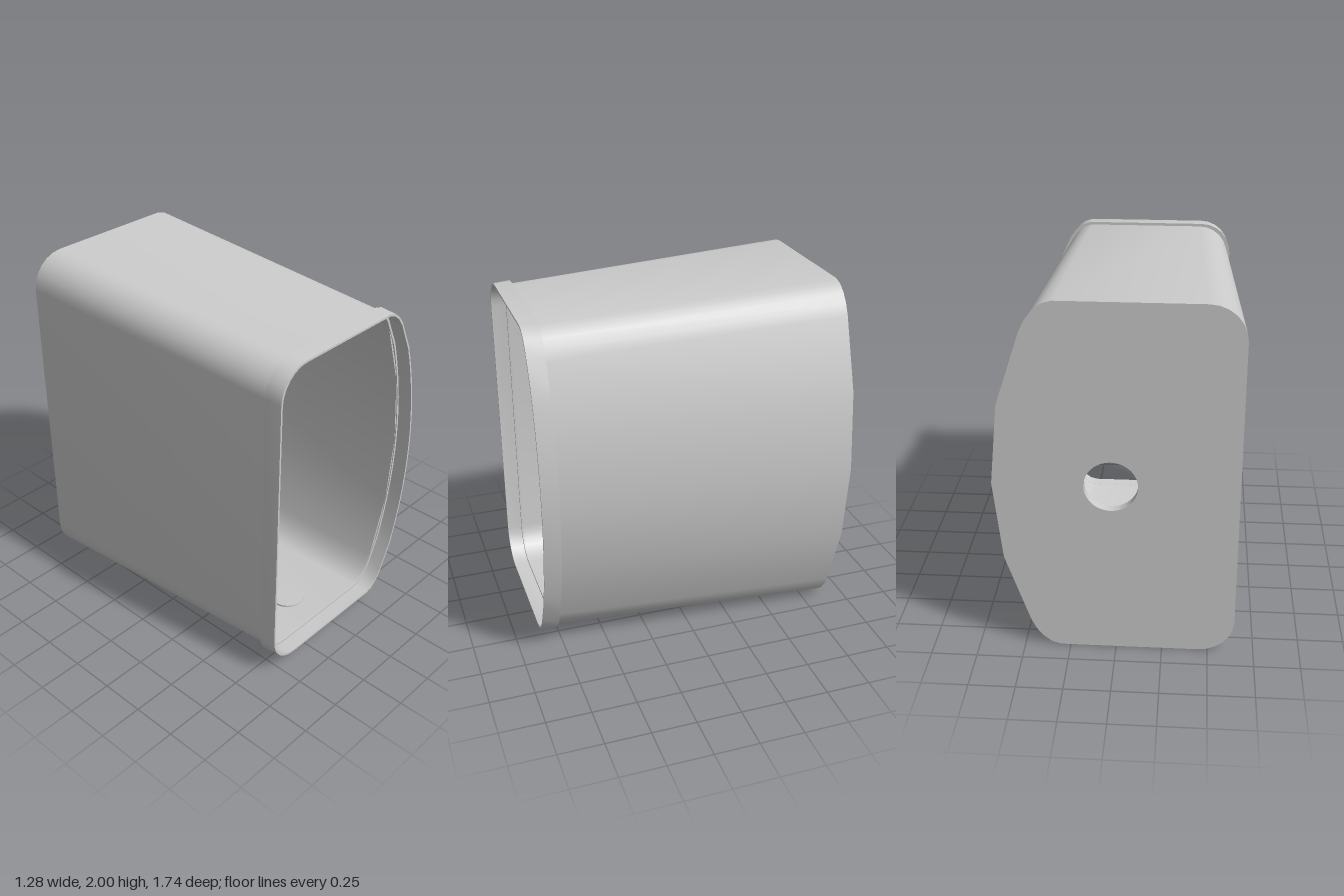
import * as THREE from 'three';
import { toCreasedNormals } from 'three/addons/utils/BufferGeometryUtils.js';

const material = new THREE.MeshStandardMaterial({ color: 0xcccccc });

// Unit outline (-1..1), counter-clockwise: rounded left corners, bowed right side.
function outline(smooth) {
  const upper = [];
  const n = smooth ? 8 : 2;
  if (smooth) {
    for (let i = 0; i < n; i++) {
      const y = 0.82 * i / n;
      upper.push([1 - 0.354 * y * y, y]);
    }
  } else upper.push([1, 0], [0.93, 0.445]);
  upper.push([0.725, 0.84], [0.68, 0.9], [0.62, 0.95], [0.55, 0.985], [0.47, 1]);
  for (let i = 0; i <= 6; i++) {
    const a = Math.PI / 2 * (1 + i / 6);
    upper.push([-0.7 + 0.3 * Math.cos(a), 0.81 + 0.19 * Math.sin(a)]);
  }
  const lower = upper.slice(1).reverse().map(([x, y]) => [x, -y]);
  return [...upper, ...lower];
}

// Closed loft through rings of [half width, half height, z].
function loft(points, rings) {
  const n = points.length, m = rings.length, pos = [], index = [];
  for (const [w, h, z] of rings)
    for (const [x, y] of points) pos.push(x * w, 1 + y * h, z);
  for (let i = 0; i < m; i++)
    for (let j = 0; j < n; j++) {
      const k = (j + 1) % n, r = i * n, s = ((i + 1) % m) * n;
      index.push(r + j, r + k, s + k, r + j, s + k, s + j);
    }
  const g = new THREE.BufferGeometry();
  g.setAttribute('position', new THREE.Float32BufferAttribute(pos, 3));
  g.setIndex(index);
  return toCreasedNormals(g, 0.6);
}

export function createModel() {
  const group = new THREE.Group();
  const add = (name, geometry) => {
    const mesh = new THREE.Mesh(geometry, material);
    mesh.name = name;
    group.add(mesh);
    return mesh;
  };
  const coarse = outline(false);

  // Thin tapered walls, widest at the back
  add('taperedShell', loft(coarse, [
    [0.642, 1, -0.87], [0.563, 0.915, 0.78],
    [0.552, 0.904, 0.78], [0.631, 0.989, -0.87],
  ]));

  // Raised lip around the open front
  add('frontLip', loft(outline(true), [
    [0.581, 0.931, 0.775], [0.573, 0.925, 0.87], [0.562, 0.914, 0.87],
    [0.565, 0.917, 0.785], [0.552, 0.904, 0.785], [0.552, 0.904, 0.775],
  ]));

  // Back panel with a round through hole
  const shape = new THREE.Shape(coarse.map(([x, y]) => new THREE.Vector2(x * 0.631, 1 + y * 0.989)));
  const hole = new THREE.Path();
  hole.absarc(0.024, 1, 0.141, 0, Math.PI * 2, true);
  shape.holes.push(hole);
  const panel = new THREE.ExtrudeGeometry(shape, { depth: 0.05, bevelEnabled: false, curveSegments: 40 });
  add('backPanel', toCreasedNormals(panel, 0.6)).position.z = -0.87;

  // Small round plug set square to the sloping floor
  const plug = add('floorPlug', new THREE.CylinderGeometry(0.097, 0.097, 0.05, 40));
  plug.position.set(-0.087, 0.069, 0.555);
  plug.rotation.x = -Math.atan(0.085 / 1.65);

  return group;
}
